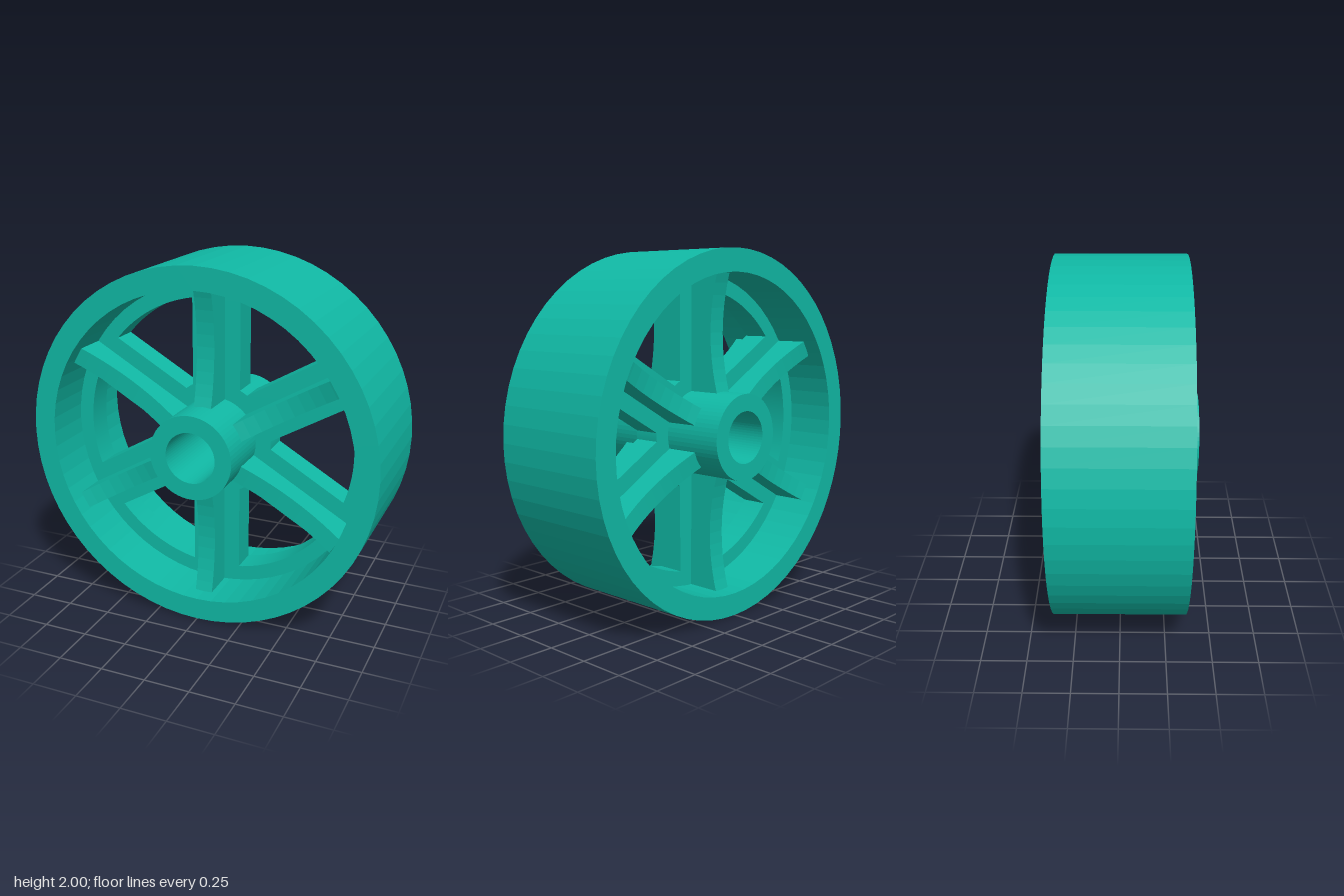
import * as THREE from 'three';

const RIM_R = 1, RIM_IN = 0.875, RIM_Z = 0.3575;
const HUB_R = 0.235, BORE_R = 0.142, HUB_Z = 0.425;
const WEB_Z = 0.075, SPOKES = 6, SEG = 64;

const material = new THREE.MeshStandardMaterial({ color: 0x10b8a4, flatShading: true });

function part(name, geometry) {
  const mesh = new THREE.Mesh(geometry, material);
  mesh.name = name;
  return mesh;
}

// Square-edged ring around the z axis
function ring(inner, outer, halfDepth) {
  const profile = [
    [inner, -halfDepth], [outer, -halfDepth], [outer, halfDepth], [inner, halfDepth], [inner, -halfDepth],
  ].map(([r, y]) => new THREE.Vector2(r, y));
  return new THREE.LatheGeometry(profile, SEG).rotateX(Math.PI / 2);
}

// Flat plate whose six windows leave straight, parallel-sided spokes
function webGeometry() {
  const shape = new THREE.Shape().absarc(0, 0, 0.89, 0, Math.PI * 2);
  shape.holes.push(new THREE.Path().absarc(0, 0, 0.19, 0, Math.PI * 2, true));
  const innerR = 0.322, outerR = 0.79, halfWidth = 0.14;
  const halfAngle = r => Math.PI / SPOKES - Math.asin(halfWidth / r);
  for (let i = 0; i < SPOKES; i++) {
    const mid = i * Math.PI * 2 / SPOKES;
    const a = halfAngle(outerR), b = halfAngle(innerR);
    const hole = new THREE.Path();
    hole.absarc(0, 0, outerR, mid - a, mid + a);
    hole.absarc(0, 0, innerR, mid + b, mid - b, true);
    hole.closePath();
    shape.holes.push(hole);
  }
  return new THREE.ExtrudeGeometry(shape, { depth: 2 * WEB_Z, bevelEnabled: false, curveSegments: 32 })
    .translate(0, 0, -WEB_Z);
}

// Radial rib with hollowed front and back edges
function ribGeometry() {
  const r0 = 0.22, r1 = 0.885, steps = 10, width = 0.1;
  const front = [], back = [];
  for (let i = 0; i <= steps; i++) {
    const t = i / steps;
    const z = 0.215 + 0.05 * (2 * t - 1) ** 2;
    const r = r0 + (r1 - r0) * t;
    front.unshift(new THREE.Vector2(r, z));
    back.push(new THREE.Vector2(r, -z));
  }
  return new THREE.ExtrudeGeometry(new THREE.Shape([...back, ...front]), { depth: width, bevelEnabled: false })
    .translate(0, 0, -width / 2)
    .rotateX(Math.PI / 2);
}

export function createModel() {
  const wheel = new THREE.Group();
  wheel.name = 'wheel';
  wheel.position.y = RIM_R;
  wheel.add(
    part('rim', ring(RIM_IN, RIM_R, RIM_Z)),
    part('hub', ring(BORE_R, HUB_R, HUB_Z)),
    part('spokeWeb', webGeometry()),
  );

  // One rib along the middle of each spoke
  const rib = ribGeometry();
  for (let i = 0; i < SPOKES; i++) {
    const mesh = part('rib', rib);
    mesh.rotation.z = Math.PI / 2 + i * Math.PI * 2 / SPOKES;
    wheel.add(mesh);
  }

  const model = new THREE.Group();
  model.name = 'spokedWheel';
  model.add(wheel);
  return model;
}
